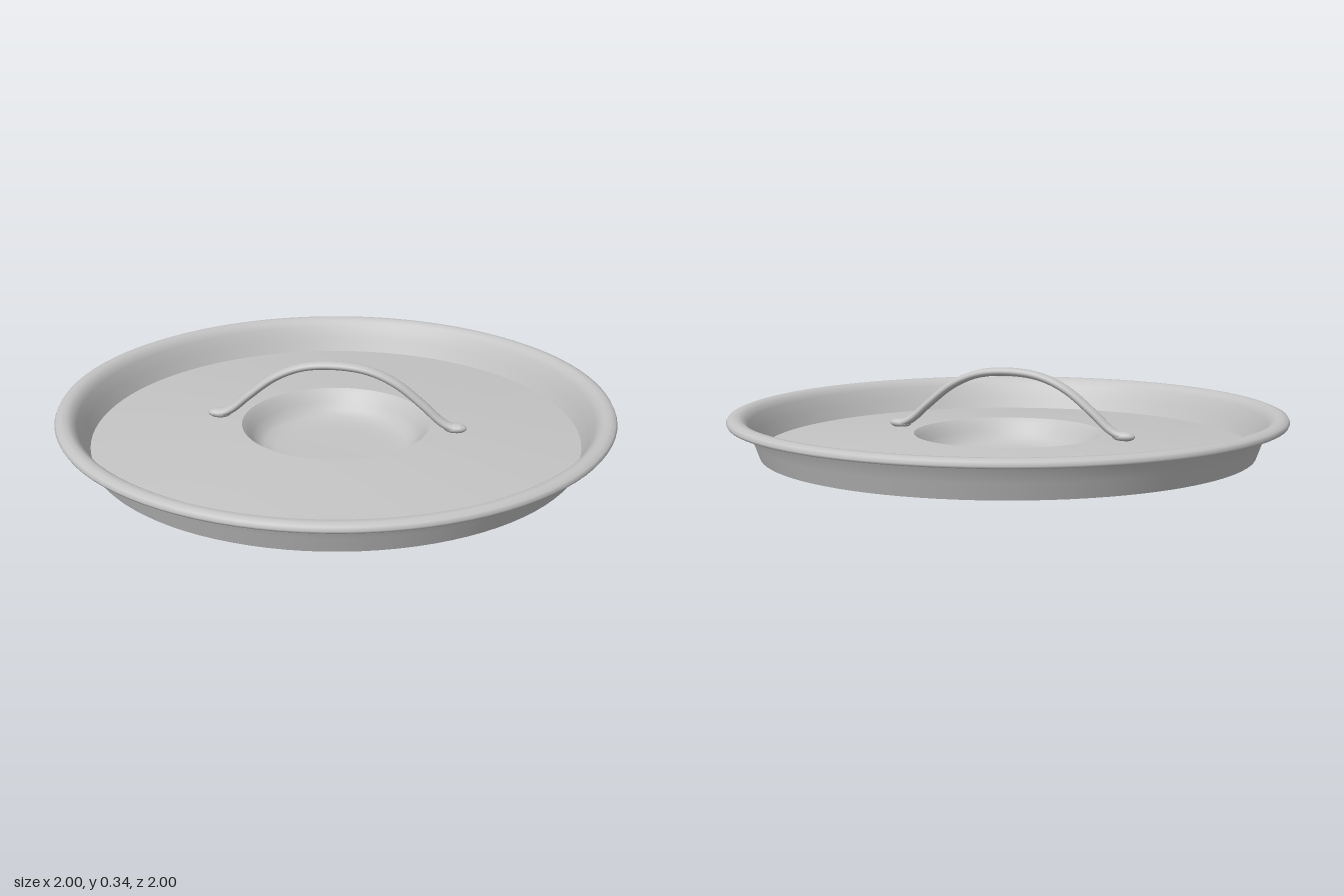
import * as THREE from 'three';

export function createModel() {
  const lid = new THREE.Group();
  lid.name = 'panLid';
  const metal = new THREE.MeshStandardMaterial({ color: 0xc4c4c4 });
  metal.name = 'grey metal';

  const add = (name, geometry) => {
    const mesh = new THREE.Mesh(geometry, metal);
    mesh.name = name;
    lid.add(mesh);
    return mesh;
  };
  const lathe = (name, profile) =>
    add(name, new THREE.LatheGeometry(profile.map(([r, y]) => new THREE.Vector2(r, y)), 96));

  // Underside: bulging dimple, then the floor falling gently to the wall
  lathe('dimpleUnderside', [
    [0, 0], [0.2, 0], [0.25, 0.003], [0.28, 0.012], [0.296, 0.028], [0.306, 0.05],
    [0.323, 0.077], [0.342, 0.098],
  ]);
  lathe('floorUnderside', [[0.342, 0.098], [0.5, 0.087], [0.7, 0.069], [0.885, 0.05]]);

  // Sloping wall, rolled rim and inner wall
  lathe('wallAndRim', [
    [0.885, 0.05], [0.905, 0.105], [0.921, 0.15], [0.935, 0.165], [0.96, 0.169],
    [0.982, 0.165], [0.994, 0.167], [0.998, 0.175], [0.992, 0.187], [0.975, 0.194],
    [0.955, 0.194], [0.938, 0.184], [0.922, 0.165], [0.902, 0.12], [0.88, 0.071],
  ]);

  // Top face: domed floor running into the dished centre
  lathe('floorTop', [[0.88, 0.071], [0.7, 0.087], [0.5, 0.103], [0.34, 0.112]]);
  lathe('dimpleTop', [
    [0.34, 0.112], [0.322, 0.095], [0.305, 0.068], [0.285, 0.042], [0.262, 0.026],
    [0.22, 0.016], [0.15, 0.013], [0, 0.013],
  ]);

  // Arched strap handle, wider than it is thick
  const half = [[0.45, 0.121], [0.415, 0.124], [0.38, 0.143], [0.318, 0.198], [0.22, 0.274], [0.12, 0.317]];
  const path = [
    ...half.map(([x, y]) => new THREE.Vector3(-x, y, 0)),
    new THREE.Vector3(0, 0.33, 0),
    ...half.map(([x, y]) => new THREE.Vector3(x, y, 0)).reverse(),
  ];
  const handle = add('handle', new THREE.TubeGeometry(new THREE.CatmullRomCurve3(path), 80, 0.015, 14));
  handle.scale.z = 1.6;
  handle.position.z = 0.006;

  // Flattened feet fixed to the floor
  for (const side of [-1, 1]) {
    const foot = add(side > 0 ? 'leftFoot' : 'rightFoot', new THREE.SphereGeometry(1, 20, 12));
    foot.scale.set(0.042, 0.017, 0.025);
    foot.position.set(side * 0.432, 0.12, 0.006);
  }
  return lid;
}
